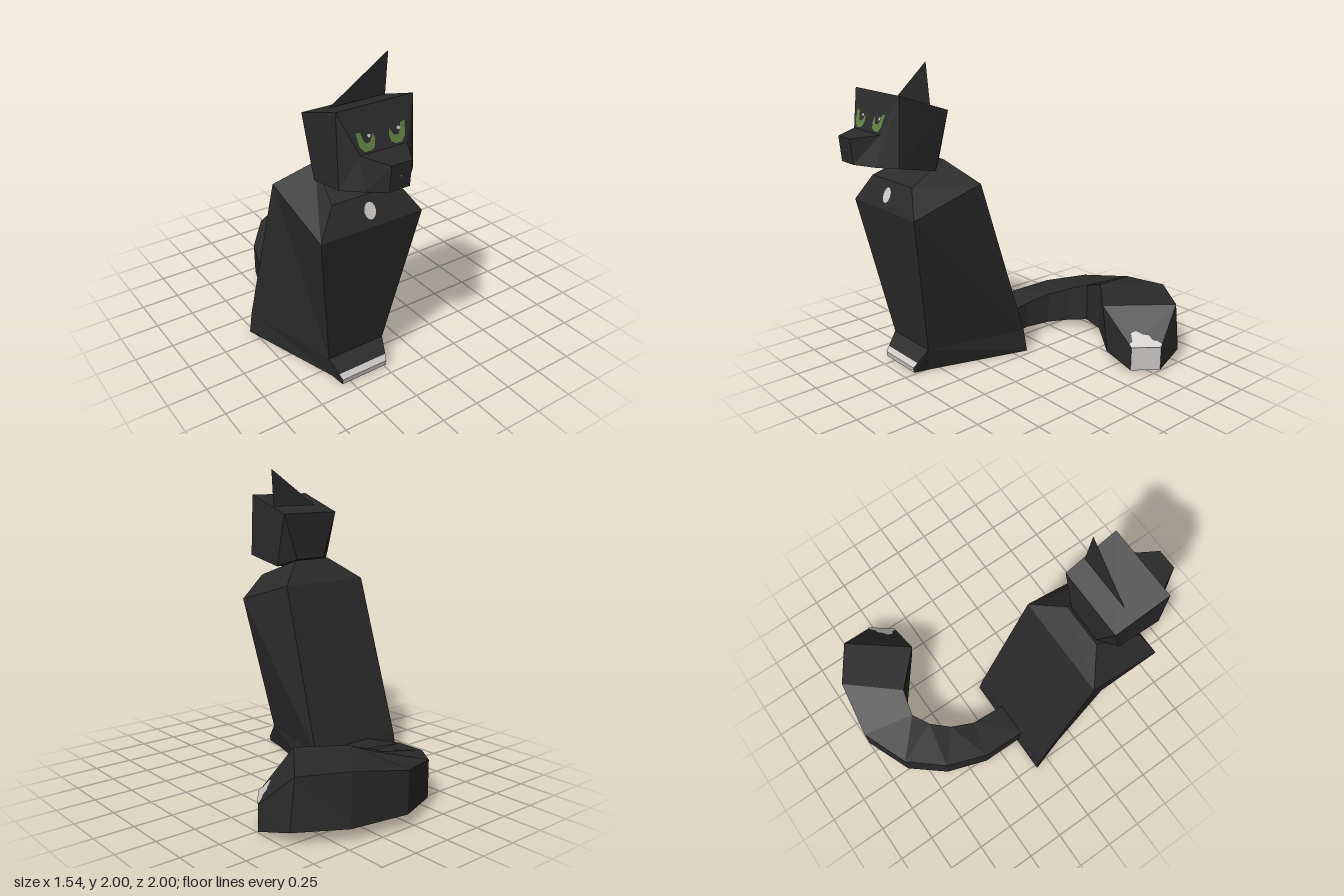
import * as THREE from 'three';

const mat = (name, color) => {
  const m = new THREE.MeshStandardMaterial({ color, side: THREE.DoubleSide });
  m.name = name;
  return m;
};

// Flat-faced geometry from a list of polygons, each fanned into triangles
function facets(polys) {
  const pos = [];
  for (const p of polys)
    for (let i = 1; i < p.length - 1; i++) pos.push(...p[0], ...p[i], ...p[i + 1]);
  const g = new THREE.BufferGeometry();
  g.setAttribute('position', new THREE.Float32BufferAttribute(pos, 3));
  g.computeVertexNormals();
  return g;
}

const flip = ([x, y, z]) => [-x, y, z];
// Quads spanning the body's width between consecutive half-profile points
const strips = (chain) => chain.slice(1).map((q, i) => [flip(chain[i]), flip(q), q, chain[i]]);
// Side patches for +x together with their mirror images
const bothSides = (polys) => polys.flatMap((p) => [p, p.map(flip).reverse()]);

export function createModel() {
  const fur = mat('black fur', 0x2b2b2b);
  const pale = mat('white fur', 0xcbc8c6);
  const green = mat('green eye', 0x5f8040);

  const model = new THREE.Group();
  const cat = new THREE.Group();
  cat.name = 'sittingCat';
  cat.position.x = -0.405;
  model.add(cat);
  const add = (parent, name, geometry, material) => {
    const m = new THREE.Mesh(geometry, material);
    m.name = name;
    parent.add(m);
    return m;
  };

  // Body: half-profile from the neck down the chest, under and up the back
  const neckF = [0.13, 1.34, 0.5], collar = [0.22, 1.26, 0.69], chest = [0.337, 1.09, 0.76];
  const ankle = [0.195, 0.16, 0.594], paw = [0.17, 0.08, 0.664], toe = [0.16, 0.05, 0.69];
  const tip = [0.16, 0.015, 0.685], sole = [0.16, 0, 0.57], base = [0.368, 0, -0.1];
  const hip = [0.36, 0.16, -0.075], shoulder = [0.337, 1.235, 0.257], neckB = [0.145, 1.38, 0.4];
  add(cat, 'body', facets([
    ...strips([neckF, collar, chest, ankle, paw]),
    ...strips([tip, sole, base, hip, shoulder, neckB, neckF]),
    ...bothSides([
      [neckF, collar, neckB],
      [collar, chest, shoulder, neckB],
      [chest, ankle, hip, shoulder],
      [ankle, sole, base, hip],
      [ankle, paw, toe, tip, sole],
    ]),
  ]), fur);
  add(cat, 'toes', facets(strips([paw, toe, tip])), pale);

  // Chest spot
  const spot = add(cat, 'chestSpot', new THREE.CircleGeometry(1, 14), pale);
  spot.scale.set(0.037, 0.05, 1);
  spot.position.set(0, 1.177, 0.729);
  spot.rotation.x = -Math.atan2(0.07, 0.17);

  // Head with tapered muzzle
  const topB = [0.23, 1.7, 0.417], topF = [0.241, 1.82, 0.765], brow = [0.148, 1.59, 0.845];
  const noseT = [0.065, 1.575, 1.0], noseB = [0.065, 1.42, 0.985], jaw = [0.148, 1.4, 0.88];
  const cheek = [0.24, 1.395, 0.786], under = [0.22, 1.335, 0.513], nape = [0.12, 1.385, 0.415];
  add(cat, 'head', facets([
    ...strips([topB, topF, brow, noseT, noseB, jaw, cheek, under, nape, topB]),
    ...bothSides([
      [topB, topF, cheek, under],
      [topB, under, nape],
      [topF, brow, jaw, cheek],
      [brow, noseT, noseB, jaw],
    ]),
  ]), fur);

  // Single flat ear
  add(cat, 'ear', facets([[[-0.14, 1.745, 0.543], [0.225, 1.745, 0.543], [0.225, 2, 0.565]]]), fur);

  // Eyes: crescents and highlights laid on the sloping face
  const face = new THREE.Group();
  face.name = 'face';
  face.position.set(0, 1.7, 0.807).add(new THREE.Vector3(0, 0.0013, 0.0038));
  face.rotation.x = -Math.atan2(0.08, 0.23);
  cat.add(face);
  const crescent = [[29, 0.5], [23.5, -0.5], [22, -7], [19, -11], [14, -10.5], [9.5, -3],
    [8, -9], [10, -16], [15, -18.5], [22, -18.5], [27, -13]];
  for (const s of [-1, 1]) {
    const pts = crescent.map(([x, y]) => new THREE.Vector2(s * x * 0.0053, y * 0.0056));
    add(face, s < 0 ? 'rightEye' : 'leftEye', new THREE.ShapeGeometry(new THREE.Shape(pts)), green);
    const glint = add(face, 'eyeGlint', new THREE.CircleGeometry(0.013, 6), pale);
    glint.position.set(s < 0 ? -0.077 : 0.108, -0.027, 0.002);
  }

  // Small nose mark
  const nose = add(cat, 'nose', new THREE.CircleGeometry(0.008, 3), pale);
  nose.position.set(0, 1.5, 0.997);
  nose.rotation.z = -Math.PI / 2;

  // Tail: four-cornered sections [outer x, z, inner x, z, bottom y, top y]
  const sections = [
    [-0.525, -0.06, -0.285, -0.06, 0.01, 0.165],
    [-0.525, -0.373, -0.28, -0.315, 0.03, 0.215],
    [-0.435, -0.648, -0.222, -0.47, 0.045, 0.26],
    [-0.255, -0.87, -0.127, -0.585, 0.06, 0.3],
    [0.053, -1.0, -0.016, -0.653, 0.08, 0.345],
    [0.434, -0.94, 0.15, -0.61, 0.08, 0.41],
    [0.71, -0.768, 0.41, -0.385, 0.08, 0.39],
    [0.768, -0.54, 0.65, -0.388, 0.02, 0.18],
  ].map(([ox, oz, ix, iz, lo, hi]) => [[ox, lo, oz], [ox, hi, oz], [ix, hi, iz], [ix, lo, iz]]);
  // The widest section flares towards its lower edge
  sections[6][0][0] += 0.015;
  sections[6][1][0] -= 0.02;
  sections[6][2][0] -= 0.02;
  sections[6][3][0] += 0.03;
  const sides = [];
  for (let i = 0; i < sections.length - 1; i++)
    for (let k = 0; k < 4; k++) {
      const a = sections[i], b = sections[i + 1], n = (k + 1) % 4;
      sides.push([a[k], a[n], b[n], b[k]]);
    }
  add(model, 'tail', facets(sides), fur);

  // White tail tip: end face plus a ragged patch on the slope above it
  const [, wideOut, wideIn] = sections[6];
  const end = sections[7];
  const onSlope = (u, t) => {
    const lo = new THREE.Vector3(...end[2]).lerp(new THREE.Vector3(...end[1]), u);
    const hi = new THREE.Vector3(...wideIn).lerp(new THREE.Vector3(...wideOut), u);
    return lo.lerp(hi, t).add(new THREE.Vector3(0.003, 0.004, 0.002)).toArray();
  };
  const ragged = [[0, 0.08], [0.13, 0.13], [0.2, 0.33], [0.33, 0.38], [0.45, 0.3],
    [0.6, 0.27], [0.7, 0.16], [0.85, 0.13], [1, 0.06]];
  const patch = ragged.slice(1).map(([u, t], i) => {
    const [v, s] = ragged[i];
    return [onSlope(v, 0), onSlope(u, 0), onSlope(u, t), onSlope(v, s)];
  });
  add(model, 'tailTip', facets([[end[0], end[1], end[2], end[3]], ...patch]), pale);

  return model;
}
